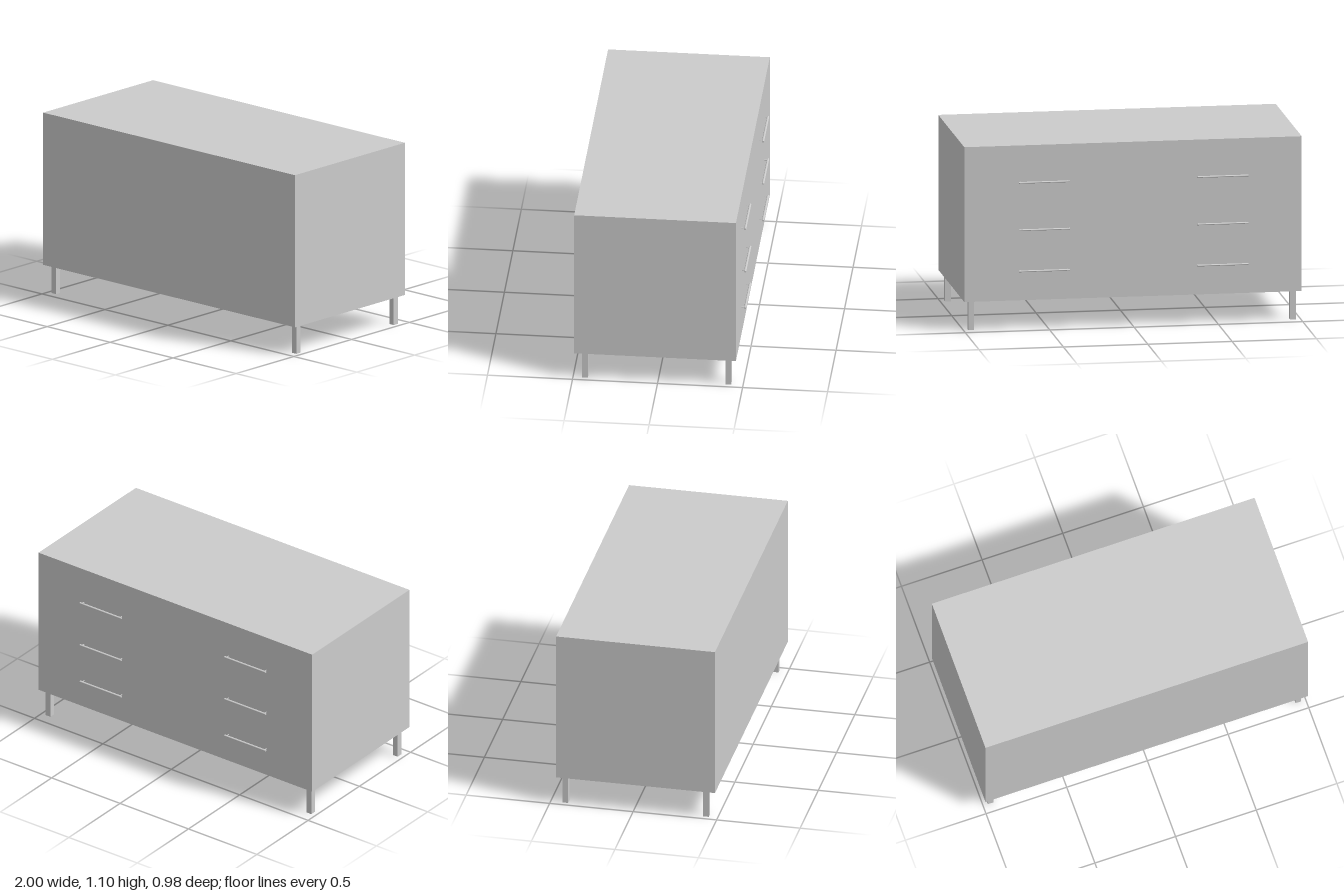
import * as THREE from 'three';

const material = new THREE.MeshStandardMaterial({ color: 0xcccccc });
const sheet = new THREE.MeshStandardMaterial({ color: 0xcccccc, side: THREE.DoubleSide });

const BOTTOM = 0.175, TOP = 1.1, FRONT = 0.49, BACK = -0.461;

function addMesh(parent, name, geometry, x, y, z, mat = material) {
  const mesh = new THREE.Mesh(geometry, mat);
  mesh.name = name;
  mesh.position.set(x, y, z);
  parent.add(mesh);
  return mesh;
}

// Thin-walled box with the underside left open
function openBottomBox(w, h, d) {
  const box = new THREE.BoxGeometry(w, h, d);
  const index = Array.from(box.index.array);
  index.splice(18, 6); // the six indices of the -y face
  box.setIndex(index);
  box.clearGroups();
  return box;
}

// Bar pull on two thin posts
function makeHandle() {
  const handle = new THREE.Group();
  handle.name = 'handle';
  const barZ = -0.483;
  const bar = new THREE.CylinderGeometry(0.007, 0.007, 0.302, 12)
    .rotateZ(Math.PI / 2).scale(1, 0.75, 1);
  addMesh(handle, 'handleBar', bar, 0, 0, barZ);
  const length = BACK - barZ;
  const post = new THREE.CylinderGeometry(0.0025, 0.0025, length, 8).rotateX(Math.PI / 2);
  for (const side of [-1, 1]) addMesh(handle, 'handlePost', post, side * 0.138, 0, BACK - length / 2);
  return handle;
}

export function createModel() {
  const model = new THREE.Group();
  model.name = 'sideboard';

  // Cabinet body
  addMesh(model, 'cabinet', openBottomBox(2, TOP - BOTTOM, FRONT - BACK),
    0, (TOP + BOTTOM) / 2, (FRONT + BACK) / 2, sheet);

  // Square legs
  const leg = new THREE.BoxGeometry(0.035, BOTTOM, 0.035);
  for (const x of [-0.954, 0.954])
    for (const z of [0.43, -0.413]) addMesh(model, 'leg', leg, x, BOTTOM / 2, z);

  // Two columns of three drawer handles
  for (const x of [-0.528, 0.528])
    for (const y of [0.352, 0.598, 0.881]) {
      const handle = makeHandle();
      handle.position.set(x, y, 0);
      model.add(handle);
    }

  return model;
}
